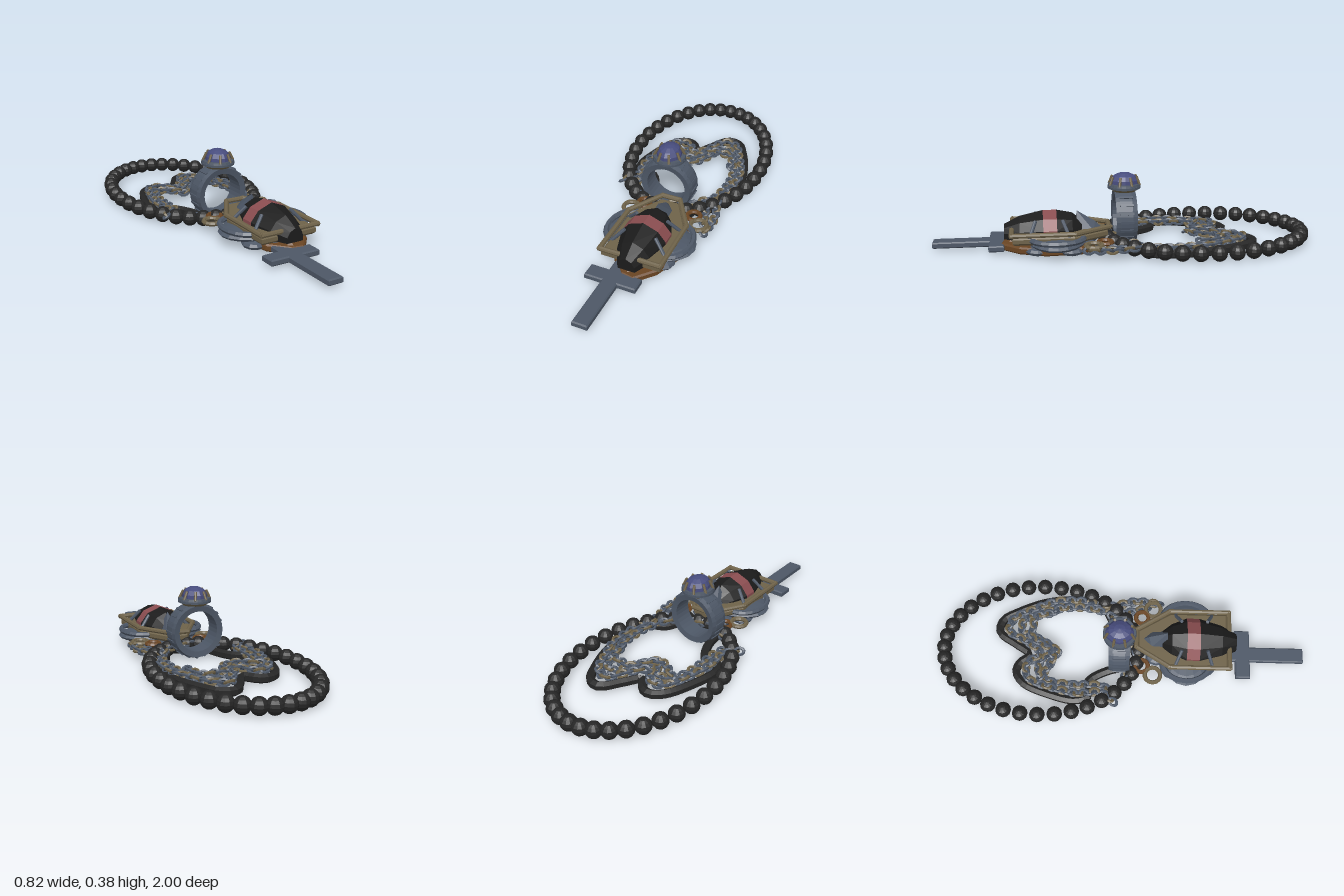
import * as THREE from 'three';
import { ConvexGeometry } from 'three/addons/geometries/ConvexGeometry.js';

const material = (name, color, flatShading = true) => {
  const m = new THREE.MeshStandardMaterial({ color, flatShading });
  m.name = name;
  return m;
};
const V = (x, y, z) => new THREE.Vector3(x, y, z);

export function createModel() {
  const root = new THREE.Group();
  const black = material('bead black', 0x262626);
  const onyx = material('onyx black', 0x1b1b1b);
  const silver = material('dull silver', 0x4d5766);
  const gold = material('dull gold', 0x6e6249);
  const brown = material('rust brown', 0x6a4523);
  const blue = material('gem blue', 0x474c7d);
  const red = material('gem red', 0x8a4d50);

  const add = (name, geo, mat, parent = root, pos = [0, 0, 0]) => {
    const m = new THREE.Mesh(geo, mat);
    m.name = name;
    m.position.set(...pos);
    parent.add(m);
    return m;
  };
  const group = (name) => {
    const g = new THREE.Group();
    g.name = name;
    root.add(g);
    return g;
  };
  // Round bar between two points
  const bar = (name, a, b, r, mat, parent) => {
    const m = add(name, new THREE.CylinderGeometry(r, r, a.distanceTo(b) + r, 8), mat, parent);
    m.position.copy(a).add(b).multiplyScalar(0.5);
    m.quaternion.setFromUnitVectors(V(0, 1, 0), b.clone().sub(a).normalize());
    return m;
  };
  const path = (pts, y) => new THREE.CatmullRomCurve3(pts.map(([x, z]) => V(x, y, z)));
  // Flat outline on the ground plane, extruded upward
  const slab = (pts, depth, bevel) => {
    const shape = new THREE.Shape(pts.map(([x, z]) => new THREE.Vector2(x, -z)));
    return new THREE.ExtrudeGeometry(shape, {
      depth, bevelEnabled: bevel > 0, bevelSize: bevel, bevelThickness: bevel, bevelSegments: 1,
    }).rotateX(-Math.PI / 2);
  };

  // Oval string of beads
  const beads = group('beadString');
  const beadGeo = new THREE.SphereGeometry(0.042, 12, 8);
  for (let i = 0; i < 36; i++) {
    const a = (i / 36) * Math.PI * 2;
    add('bead', beadGeo, black, beads, [0.37 * Math.sin(a), 0.044, -0.43 - 0.53 * Math.cos(a)]);
  }

  // Cross pendant
  const cross = slab([
    [-0.034, 0.56], [0.034, 0.56], [0.034, 0.636], [0.129, 0.636], [0.129, 0.704], [0.034, 0.704],
    [0.034, 0.994], [-0.034, 0.994], [-0.034, 0.704], [-0.129, 0.704], [-0.129, 0.636], [-0.034, 0.636],
  ], 0.02, 0.006);
  add('cross', cross, silver, root, [0, 0.02, 0]);

  // Finger ring: wide band standing upright
  const ring = group('fingerRing');
  const profile = [[0.108, -0.05], [0.138, -0.055], [0.145, -0.03], [0.145, 0.03], [0.138, 0.055], [0.108, 0.05], [0.108, -0.05]];
  const band = new THREE.LatheGeometry(profile.map((p) => new THREE.Vector2(...p)), 32).rotateX(Math.PI / 2);
  add('band', band, silver, ring, [0, 0.15, 0]);
  for (let i = 0; i < 20; i++) {
    const a = (i / 20) * Math.PI * 2;
    const rib = add('bandRib', new THREE.BoxGeometry(0.009, 0.012, 0.07), silver, ring,
      [0.145 * Math.cos(a), 0.15 + 0.145 * Math.sin(a), 0]);
    rib.rotation.z = a;
  }
  // Setting and oval gem
  const setting = group('gemSetting');
  setting.position.y = 0.285;
  add('cup', new THREE.CylinderGeometry(0.083, 0.062, 0.02, 20), gold, setting, [0, 0.012, 0]);
  add('lowerBezel', new THREE.CylinderGeometry(0.087, 0.087, 0.011, 24), silver, setting, [0, 0.023, 0]);
  add('upperBezel', new THREE.CylinderGeometry(0.084, 0.087, 0.012, 24), silver, setting, [0, 0.036, 0]);
  const dome = [[0.075, 0.04], [0.073, 0.06], [0.058, 0.082], [0.03, 0.095], [0, 0.1]];
  const gemMesh = add('blueGem', new THREE.LatheGeometry(dome.map((p) => new THREE.Vector2(...p)), 12), blue, setting);
  gemMesh.scale.x = 0.86;
  for (let i = 0; i < 8; i++) {
    const a = ((i + 0.5) / 8) * Math.PI * 2, c = Math.cos(a), s = Math.sin(a);
    bar('prong', V(0.079 * c, 0.038, 0.083 * s), V(0.06 * c, 0.076, 0.068 * s), 0.007, gold, setting);
  }

  // Black cord lying under the chains
  const cord = path([
    [-0.08, 0.1], [-0.11, -0.06], [-0.18, -0.17], [-0.25, -0.16], [-0.28, -0.23], [-0.25, -0.38], [-0.19, -0.52],
    [-0.13, -0.56], [-0.08, -0.545], [-0.03, -0.49], [0.03, -0.57], [0.1, -0.665], [0.17, -0.65],
    [0.22, -0.57], [0.28, -0.42], [0.3, -0.25], [0.27, -0.09], [0.19, -0.05], [0.14, 0.08],
  ], 0.026);
  add('cord', new THREE.TubeGeometry(cord, 72, 0.024, 6), black);

  // Chains of alternating silver and gold links
  const chains = group('chains');
  const linkGeo = new THREE.TorusGeometry(0.02, 0.0075, 5, 10).scale(1.25, 1, 1);
  const chain = (pts, y) => {
    const curve = path(pts, y);
    const n = Math.round(curve.getLength() / 0.029);
    for (let i = 0; i <= n; i++) {
      const t = curve.getTangentAt(i / n);
      const link = add('link', linkGeo, i % 3 === 1 ? gold : silver, chains, curve.getPointAt(i / n).toArray());
      link.rotation.set(Math.PI / 2 + (i % 2 ? 0.6 : -0.6), Math.atan2(-t.z, t.x), 0, 'YXZ');
    }
  };
  chain([[-0.29, -0.03], [-0.24, -0.1], [-0.25, -0.22], [-0.22, -0.36], [-0.17, -0.49], [-0.09, -0.5], [-0.03, -0.43],
    [0.03, -0.5], [0.1, -0.61], [0.17, -0.59], [0.23, -0.48], [0.28, -0.36], [0.285, -0.2], [0.26, -0.06],
    [0.29, 0.08], [0.28, 0.21]], 0.052);
  chain([[-0.23, -0.02], [-0.2, -0.12], [-0.2, -0.24], [-0.18, -0.38], [-0.12, -0.44], [-0.06, -0.42], [-0.02, -0.34],
    [0.05, -0.43], [0.1, -0.54], [0.17, -0.53], [0.21, -0.43], [0.24, -0.34], [0.25, -0.2], [0.22, -0.02],
    [0.25, 0.14]], 0.046);
  chain([[-0.16, -0.42], [-0.1, -0.38], [-0.05, -0.36], [0.0, -0.39], [0.06, -0.48], [0.12, -0.48], [0.18, -0.47],
    [0.21, -0.37]], 0.06);
  chain([[-0.14, 0.03], [-0.05, 0.09], [0.06, 0.06], [0.15, 0.02], [0.2, -0.05]], 0.055);

  // Large pendant, centred a little to the left of the ring
  const pendant = group('pendant');
  pendant.position.x = 0.05;
  const body = add('body', new THREE.SphereGeometry(1, 20, 10), silver, pendant, [0, 0.06, 0.36]);
  body.scale.set(0.245, 0.04, 0.16);
  add('brownBacking', slab([
    [-0.04, 0.2], [0.1, 0.17], [0.16, 0.24], [0.17, 0.42], [0.12, 0.55], [0.04, 0.64], [-0.02, 0.63],
    [-0.1, 0.54], [-0.13, 0.36], [-0.1, 0.24],
  ], 0.022, 0.008), brown, pendant, [0, 0.02, 0]);
  add('brownTip', new THREE.ConeGeometry(0.06, 0.05, 6), brown, pendant, [0, 0.05, 0.59]);

  for (const s of [-1, 1]) {
    // Lobes beneath and rimmed ears at the sides
    for (const [x, z, r] of [[0.05, 0.52, 0.05], [0.12, 0.46, 0.06], [0.14, 0.29, 0.06], [0.07, 0.2, 0.055]]) {
      const lobe = add('lobe', new THREE.SphereGeometry(1, 10, 6), silver, pendant, [s * x, 0.03, z]);
      lobe.scale.set(r, 0.026, r * 1.1);
    }
    const ear = add('earRim', new THREE.TorusGeometry(0.1, 0.014, 6, 20), silver, pendant, [s * 0.125, 0.088, 0.36]);
    ear.rotation.x = Math.PI / 2;
    ear.scale.y = 1.3;
    // Loops joining pendant and chain
    for (const [x, z, r, m] of [[0.19, 0.18, 0.042, gold], [0.14, 0.12, 0.035, brown]]) {
      const loop = add('loop', new THREE.TorusGeometry(r, 0.012, 6, 14), m, pendant, [s * x, 0.065, z]);
      loop.rotation.x = Math.PI / 2;
    }
  }

  // Gold house-shaped plate and raised frame
  const outline = [[-0.16, 0.59], [0.16, 0.59], [0.16, 0.27], [0.05, 0.09], [-0.05, 0.09], [-0.16, 0.27]];
  add('goldPlate', slab(outline.map(([x, z]) => [x * 0.9, 0.36 + (z - 0.36) * 0.93]), 0.02, 0.012),
    gold, pendant, [0, 0.077, 0]);
  outline.forEach(([x, z], i) => {
    const [x2, z2] = outline[(i + 1) % outline.length];
    bar('frameBar', V(x, 0.12, z), V(x2, 0.12, z2), 0.013, gold, pendant);
  });

  // Faceted black stone with a red band
  const section = ([z, w, h]) => [[-1, 0], [-1, 0.4], [-0.65, 0.78], [0, 1], [0.65, 0.78], [1, 0.4], [1, 0]]
    .map(([x, y]) => V(x * w, 0.07 + y * h, z));
  const stone = (name, mat, sections) => add(name, new ConvexGeometry(sections.flatMap(section)), mat, pendant);
  stone('stoneFront', onyx, [[0.63, 0.045, 0.07], [0.55, 0.085, 0.11], [0.43, 0.118, 0.137]]);
  stone('stoneBand', red, [[0.43, 0.118, 0.137], [0.36, 0.118, 0.137]]);
  stone('stoneBack', onyx, [[0.36, 0.118, 0.137], [0.28, 0.085, 0.12], [0.23, 0.05, 0.08]]);
  // Claws holding the stone and the silver crest behind it
  for (const s of [-1, 1]) {
    for (const z of [0.3, 0.5]) bar('claw', V(s * 0.145, 0.1, z), V(s * 0.085, 0.168, z * 0.7 + 0.12), 0.009, silver, pendant);
  }
  add('crest', new ConvexGeometry([
    V(-0.055, 0.09, 0.26), V(0.055, 0.09, 0.26), V(0, 0.2, 0.255), V(-0.045, 0.1, 0.17), V(0.045, 0.1, 0.17),
    V(0, 0.14, 0.16), V(0, 0.1, 0.12),
  ]), silver, pendant);

  return root;
}
